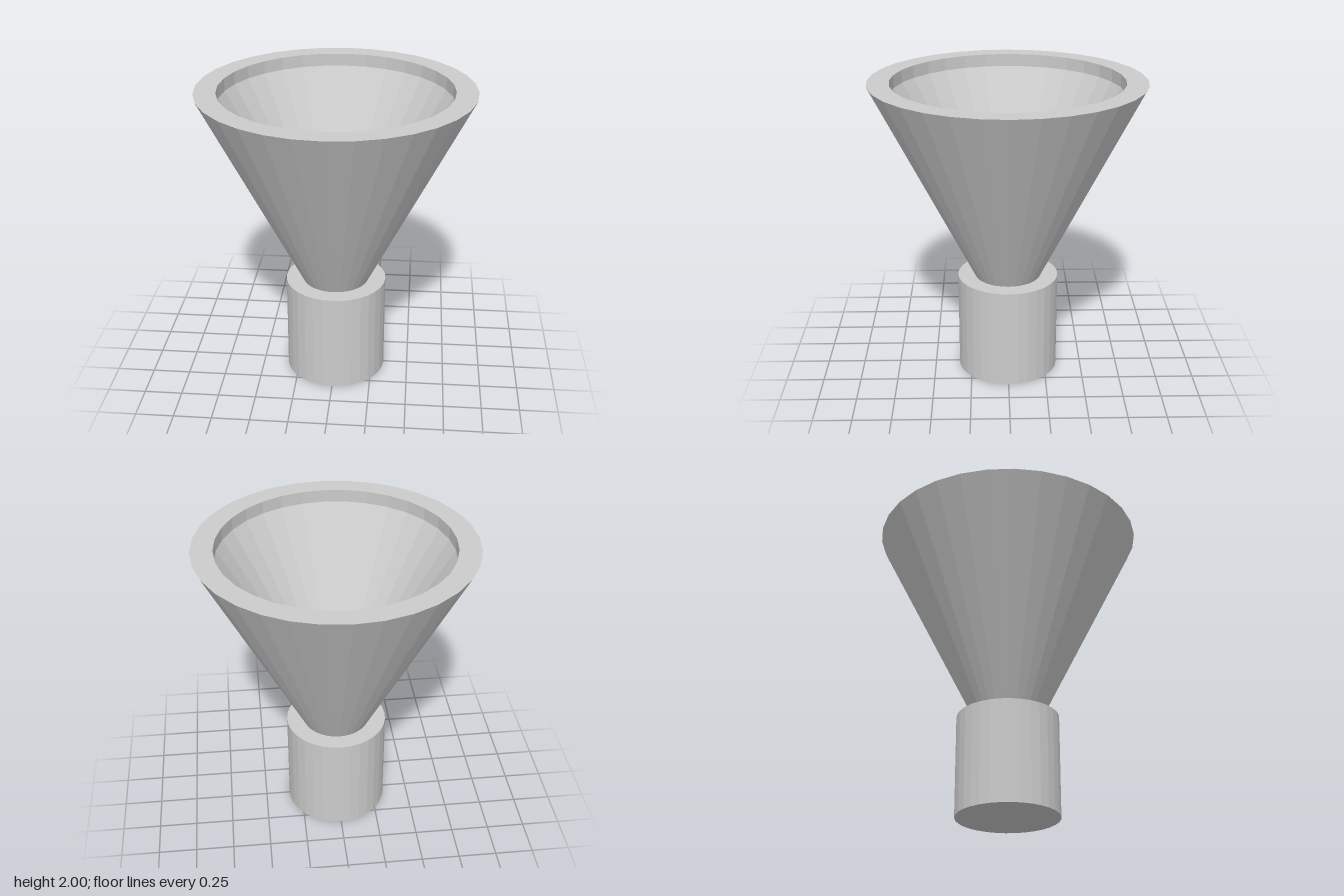
import * as THREE from 'three';

const SIDES = 32;

// Faceted body of revolution from [radius, height] pairs, outside traced upward
function turned(name, profile, material) {
  const points = profile.map(([r, y]) => new THREE.Vector2(r, y));
  const mesh = new THREE.Mesh(new THREE.LatheGeometry(points, SIDES), material);
  mesh.name = name;
  return mesh;
}

export function createModel() {
  const model = new THREE.Group();
  model.name = 'funnel';
  const material = new THREE.MeshStandardMaterial({ color: 0xcccccc, flatShading: true });

  const baseRadius = 0.335, baseTop = 0.671, neckRadius = 0.22;
  const rimRadius = 0.885, mouthRadius = 0.745, rimTop = 2;
  const lipDepth = 0.084, bowlTip = 0.7;

  // Cylindrical base with an open shoulder around the neck
  model.add(turned('base', [
    [0, 0], [baseRadius, 0], [baseRadius, baseTop], [neckRadius, baseTop],
  ], material));

  // Flared cone, flat rim, short straight lip and conical hollow
  model.add(turned('cone', [
    [neckRadius, baseTop], [rimRadius, rimTop], [mouthRadius, rimTop],
    [mouthRadius, rimTop - lipDepth], [0, bowlTip],
  ], material));

  return model;
}
